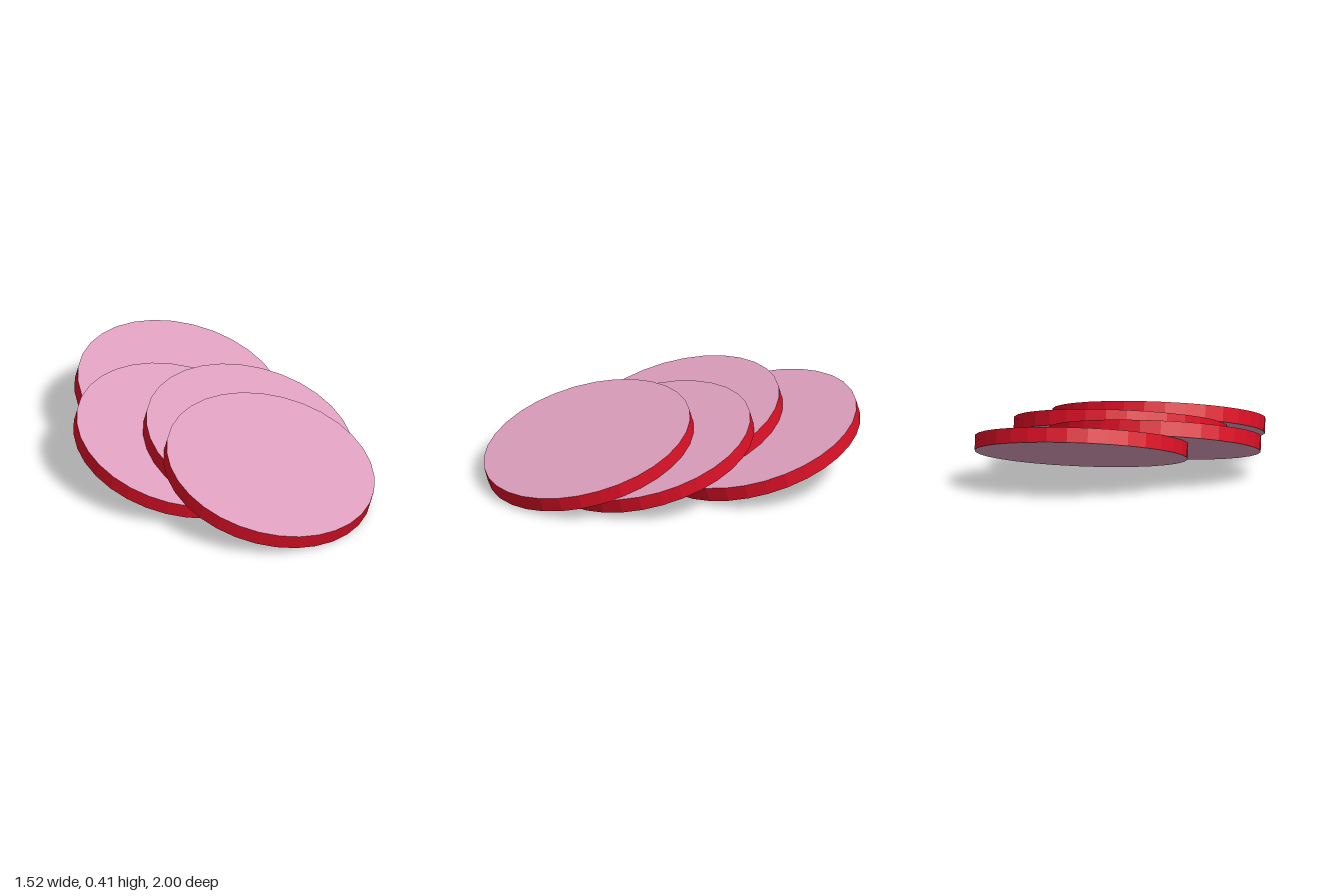
import * as THREE from 'three';

const RADIUS = 0.58;
const THICKNESS = 0.083;
const TILT = THREE.MathUtils.degToRad(16.5);

export function createModel() {
  const group = new THREE.Group();
  group.name = 'leaningSlices';

  const rim = new THREE.MeshStandardMaterial({ color: 0xdc1026, flatShading: true });
  rim.name = 'red rim';
  const face = new THREE.MeshStandardMaterial({ color: 0xdd9fbd, flatShading: true });
  face.name = 'pink face';

  // Side, top cap and bottom cap groups of the disc
  const disc = new THREE.CylinderGeometry(RADIUS, RADIUS, THICKNESS, 32);

  // Slice centres [x, z], from the front one to the back one
  const centres = [[-0.12, 0.432], [0.05, 0.152], [-0.18, -0.148], [0.18, -0.432]];
  const y = RADIUS * Math.sin(TILT) + (THICKNESS / 2) * Math.cos(TILT);

  centres.forEach(([x, z], i) => {
    const slice = new THREE.Mesh(disc, [rim, face, face]);
    slice.name = `slice${i + 1}`;
    slice.position.set(x, y, z);
    slice.rotation.x = TILT;
    group.add(slice);
  });

  return group;
}
